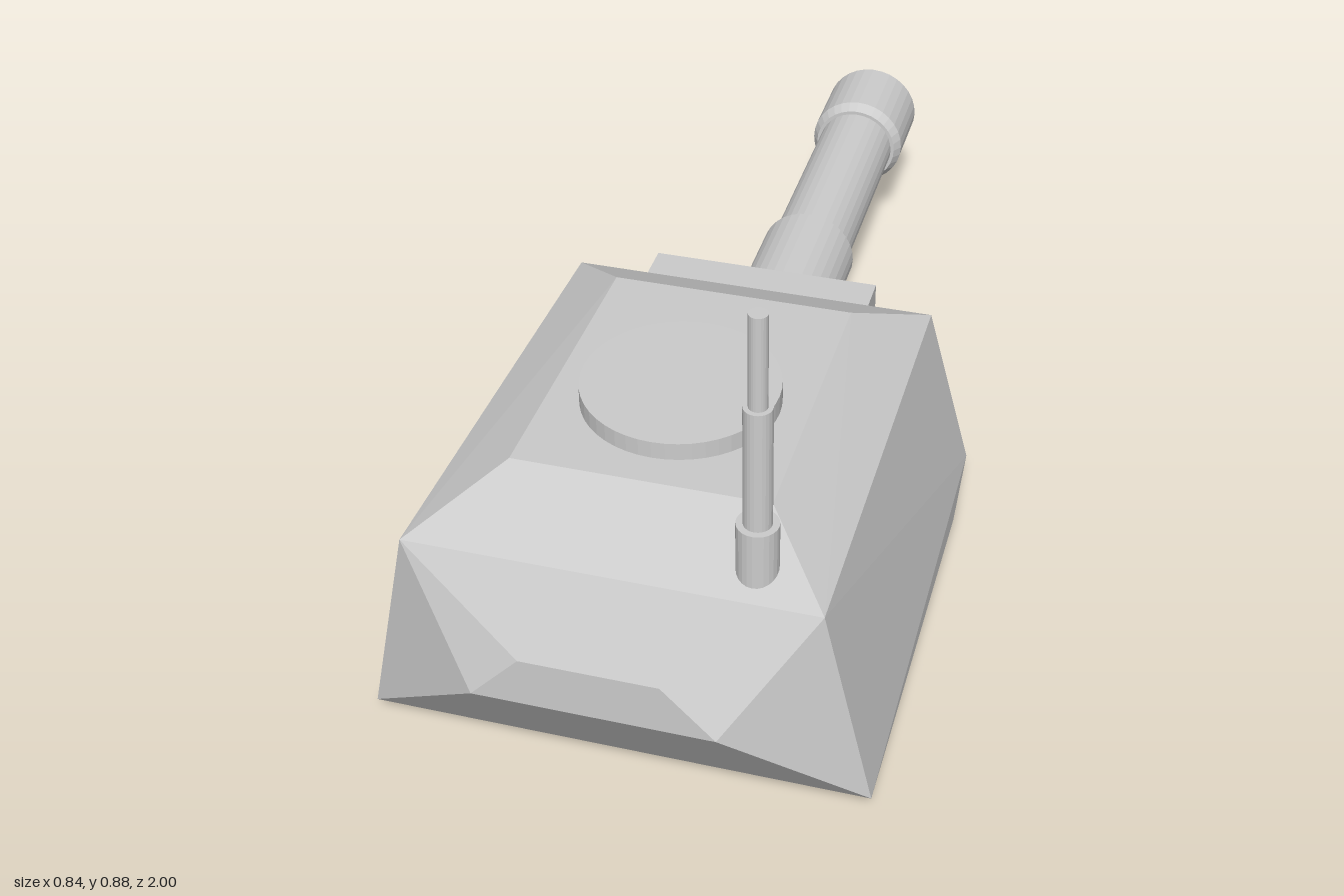
import * as THREE from 'three';
import { ConvexGeometry } from 'three/addons/geometries/ConvexGeometry.js';

const material = new THREE.MeshStandardMaterial({ color: 0xcccccc, flatShading: true });

function part(name, geometry, x = 0, y = 0, z = 0) {
  const mesh = new THREE.Mesh(geometry, material);
  mesh.name = name;
  mesh.position.set(x, y, z);
  return mesh;
}

// Each row is a crosswise edge: [left x, right x, y, z]
function hull(rows) {
  const points = rows.flatMap(([a, b, y, z]) => [new THREE.Vector3(a, y, z), new THREE.Vector3(b, y, z)]);
  return new ConvexGeometry(points);
}

// Turned solid from [radius, height] pairs, listed upwards along the outside
function turned(profile, segments) {
  return new THREE.LatheGeometry(profile.map(([r, h]) => new THREE.Vector2(r, h)), segments);
}

export function createModel() {
  const model = new THREE.Group();
  model.name = 'turret';

  // Edges shared by the armoured body and the bustle
  const lowerEdge = [-0.42, 0.42, 0.03, 0.83];
  const upperEdge = [-0.35, 0.335, 0.387, 0.82];

  // Body with sloped sides and bevelled roof
  model.add(part('turretBody', hull([
    lowerEdge, upperEdge,
    [-0.416, 0.42, 0, 0.1],
    [-0.416, 0.42, 0.06, -0.02],
    [-0.34, 0.335, 0.36, -0.035],
    [-0.22, 0.215, 0.457, 0.665],
    [-0.22, 0.215, 0.442, 0.11],
  ])));

  // Tapered bustle
  model.add(part('bustle', hull([
    lowerEdge, upperEdge,
    [-0.09, 0.13, 0.361, 1],
    [-0.17, 0.215, 0.274, 1],
  ])));

  // Gun mantlet
  model.add(part('mantlet', new THREE.BoxGeometry(0.43, 0.23, 0.14), -0.005, 0.22, -0.07));

  // Stepped gun barrel with a hollow muzzle
  const barrel = turned([
    [0.093, 0.12], [0.093, 0.383], [0.079, 0.383], [0.079, 0.825],
    [0.086, 0.825], [0.098, 0.845], [0.098, 1], [0.065, 1], [0.065, 0.7], [0, 0.7],
  ], 32).rotateX(-Math.PI / 2);
  model.add(part('gunBarrel', barrel, 0.021, 0.221, 0));

  // Roof hatch
  model.add(part('hatch', new THREE.CylinderGeometry(0.169, 0.169, 0.06, 48), -0.002, 0.457, 0.435));

  // Telescopic antenna
  const antenna = turned([
    [0, 0.395], [0.034, 0.395], [0.034, 0.5], [0.023, 0.5],
    [0.023, 0.72], [0.015, 0.72], [0.015, 0.885], [0, 0.885],
  ], 24);
  model.add(part('antenna', antenna, 0.216, 0, 0.763));

  return model;
}
